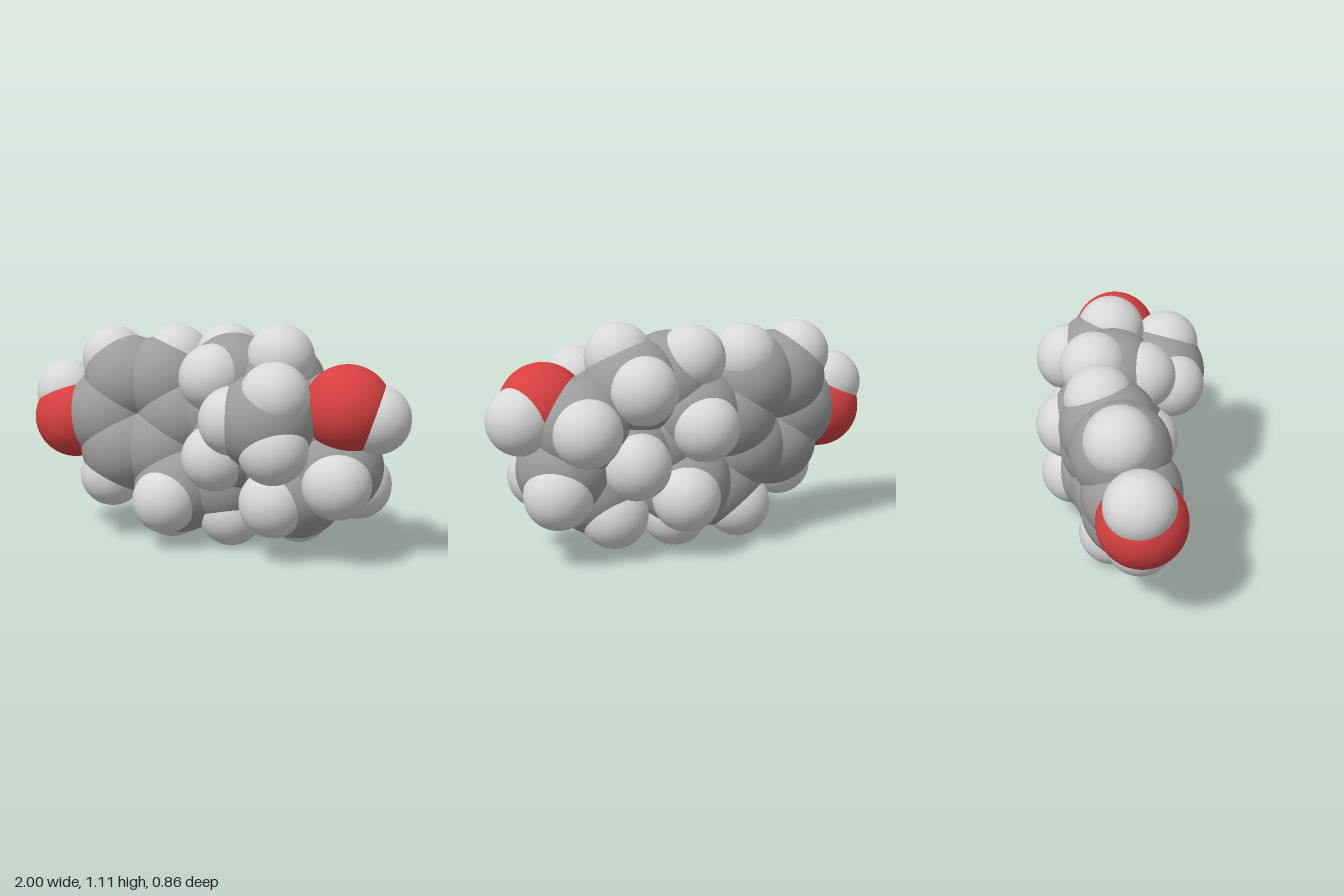
import * as THREE from 'three';

// Space-filling molecule: every atom is a smooth, overlapping sphere.
export function createModel() {
  const model = new THREE.Group();
  model.name = 'spaceFillingMolecule';

  const kinds = {
    carbon: { radius: 0.232, color: 0x9c9c9c },
    hydrogen: { radius: 0.163, color: 0xd8d8d8 },
    oxygen: { radius: 0.207, color: 0xd84040 },
  };
  for (const [name, kind] of Object.entries(kinds)) {
    kind.geometry = new THREE.SphereGeometry(kind.radius, 48, 32);
    kind.material = new THREE.MeshStandardMaterial({ color: kind.color });
    kind.material.name = name + 'Colour';
  }

  function part(name) {
    const group = new THREE.Group();
    group.name = name;
    model.add(group);
    return group;
  }
  function atoms(parent, kind, centres) {
    centres.forEach(([x, y, z], i) => {
      const mesh = new THREE.Mesh(kinds[kind].geometry, kinds[kind].material);
      mesh.name = kind + 'Atom' + (i + 1);
      mesh.position.set(x, y, z);
      parent.add(mesh);
    });
  }

  // Flat six-sided ring, slightly tilted
  const flatRing = part('flatRing');
  const ringCentres = [];
  for (let i = 0; i < 6; i++) {
    const a = THREE.MathUtils.degToRad(2 + 60 * i);
    const dx = 0.19 * Math.cos(a), dy = 0.19 * Math.sin(a);
    ringCentres.push([-0.405 + dx, 0.627 + dy, -0.05 - 0.2 * dx - 0.155 * dy]);
  }
  atoms(flatRing, 'carbon', ringCentres);
  atoms(flatRing, 'hydrogen', [[-0.27, 0.915, -0.135], [-0.6, 0.9, -0.065], [-0.56, 0.32, 0.03]]);

  // Hydroxyl group on the flat ring
  const ringHydroxyl = part('ringHydroxyl');
  atoms(ringHydroxyl, 'oxygen', [[-0.785, 0.597, 0.02]]);
  atoms(ringHydroxyl, 'hydrogen', [[-0.837, 0.72, 0.005]]);

  // Second ring, lower middle
  const lowerRing = part('lowerRing');
  atoms(lowerRing, 'carbon', [
    [-0.185, 0.285, -0.01], [0.035, 0.322, -0.1], [0.13, 0.525, -0.03], [-0.01, 0.66, -0.12],
  ]);
  atoms(lowerRing, 'hydrogen', [
    [-0.19, 0.238, 0.13], [-0.27, 0.168, -0.08], [0.07, 0.165, -0.07],
    [0.09, 0.285, -0.248], [0.075, 0.47, 0.11], [0, 0.62, -0.267],
  ]);

  // Third ring, upper middle
  const upperRing = part('upperRing');
  atoms(upperRing, 'carbon', [
    [0.09, 0.825, -0.055], [0.3, 0.81, -0.1], [0.395, 0.655, 0.005], [0.33, 0.485, -0.08],
  ]);
  atoms(upperRing, 'hydrogen', [
    [0.048, 0.85, 0.085], [0.015, 0.93, -0.145], [0.345, 0.947, -0.045],
    [0.31, 0.82, -0.25], [0.34, 0.465, -0.235],
  ]);

  // Five-sided end ring
  const endRing = part('endRing');
  atoms(endRing, 'carbon', [[0.445, 0.325, -0.025], [0.625, 0.445, -0.055], [0.565, 0.65, -0.105]]);
  atoms(endRing, 'hydrogen', [
    [0.39, 0.28, 0.12], [0.41, 0.21, -0.125], [0.695, 0.39, 0.08],
    [0.7, 0.35, -0.16], [0.59, 0.65, -0.252],
  ]);

  // Methyl group standing out to the front
  const methyl = part('methylGroup');
  atoms(methyl, 'carbon', [[0.385, 0.68, 0.2]]);
  atoms(methyl, 'hydrogen', [[0.45, 0.8, 0.24], [0.457, 0.563, 0.265], [0.245, 0.68, 0.25]]);

  // Hydroxyl group on the end ring
  const endHydroxyl = part('endHydroxyl');
  atoms(endHydroxyl, 'oxygen', [[0.71, 0.735, 0]]);
  atoms(endHydroxyl, 'hydrogen', [[0.834, 0.69, -0.045]]);

  return model;
}
